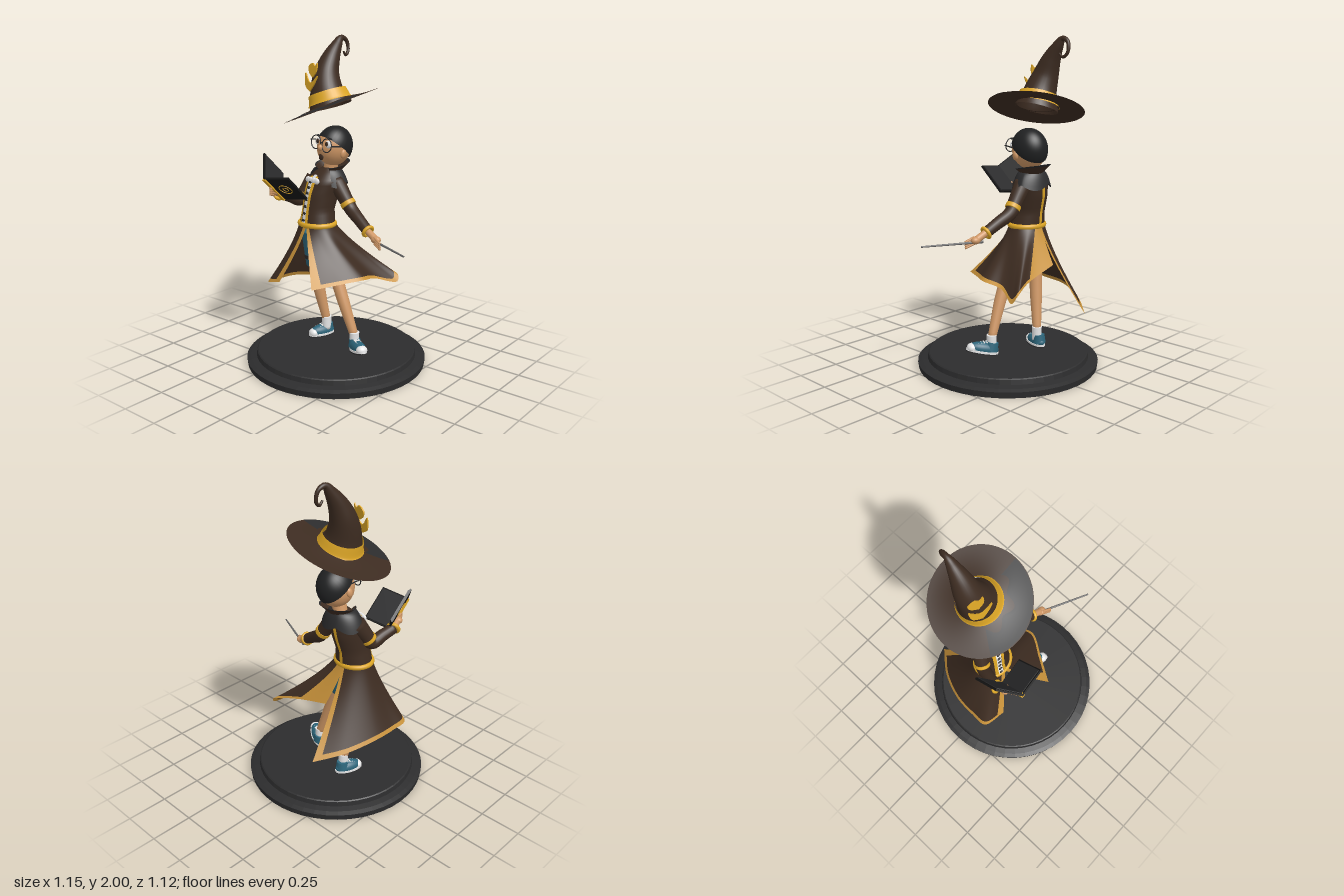
import * as THREE from 'three';
import { mergeVertices } from 'three/addons/utils/BufferGeometryUtils.js';

const V = (x, y, z) => new THREE.Vector3(x, y, z);
const material = (name, color) => new THREE.MeshStandardMaterial({ name, color, side: THREE.DoubleSide });

export function createModel() {
  const model = new THREE.Group();
  model.name = 'wizardFigure';
  const brown = material('robe brown', 0x3d2c21), gold = material('gold', 0xdea726),
    trim = material('trim amber', 0xc8923a), dark = material('charcoal', 0x2c2c2d), hairBlack = material('hair black', 0x202122),
    black = material('book black', 0x161616), skin = material('skin', 0xd09866),
    teal = material('teal', 0x2d667b), white = material('white', 0xe6e6e6), grey = material('wand grey', 0x6c6c6c);

  const add = (name, geo, mat, pos, parent = model) => {
    const m = new THREE.Mesh(geo, mat);
    m.name = name;
    if (pos) m.position.copy(pos);
    parent.add(m);
    return m;
  };
  // Surface from f(u, v); pick(u, v) chooses a material index for each cell
  const grid = (f, nu, nv, pick = () => 0) => {
    const pos = [], idx = [[], []];
    for (let j = 0; j <= nv; j++) for (let i = 0; i <= nu; i++) pos.push(...f(i / nu, j / nv).toArray());
    for (let j = 0; j < nv; j++) for (let i = 0; i < nu; i++) {
      const a = j * (nu + 1) + i, b = a + nu + 1;
      idx[pick((i + 0.5) / nu, (j + 0.5) / nv)].push(a, b, a + 1, a + 1, b, b + 1);
    }
    let g = new THREE.BufferGeometry();
    g.setAttribute('position', new THREE.Float32BufferAttribute(pos, 3));
    g.setIndex([...idx[0], ...idx[1]]);
    g = mergeVertices(g, 1e-5);
    g.addGroup(0, idx[0].length, 0);
    g.addGroup(idx[0].length, idx[1].length, 1);
    g.computeVertexNormals();
    return g;
  };
  // Round limb through points [x, y, z, radius]
  const loft = (pts, caps = true, sides = 18) => {
    const curve = new THREE.CatmullRomCurve3(pts.map(p => V(p[0], p[1], p[2])));
    const n = (pts.length - 1) * 6, rings = [], normal = V(0.13, 0.21, 0.97);
    for (let i = 0; i <= n; i++) {
      const t = i / n, k = Math.min(Math.floor(t * (pts.length - 1)), pts.length - 2), tan = curve.getTangent(t);
      normal.addScaledVector(tan, -normal.dot(tan)).normalize();
      const r = THREE.MathUtils.lerp(pts[k][3], pts[k + 1][3], t * (pts.length - 1) - k);
      rings.push({ p: curve.getPoint(t), n: normal.clone(), b: tan.clone().cross(normal), r });
    }
    if (caps) {
      rings.unshift({ ...rings[0], r: 0 });
      rings.push({ ...rings[rings.length - 1], r: 0 });
    }
    const last = rings.length - 1;
    return grid((u, v) => {
      const q = rings[Math.round(v * last)], a = u * Math.PI * 2;
      return q.p.clone().addScaledVector(q.n, q.r * Math.cos(a)).addScaledVector(q.b, q.r * Math.sin(a));
    }, sides, last);
  };
  const ball = (x, y, z) => new THREE.SphereGeometry(1, 24, 16).scale(x, y, z);

  // Display base
  add('base', new THREE.LatheGeometry([[0, 0], [0.555, 0], [0.56, 0.036], [0.535, 0.046], [0.5, 0.055],
    [0.495, 0.083], [0.488, 0.088], [0, 0.088]].map(p => new THREE.Vector2(...p)), 48).toNonIndexed(), dark, V(-0.015, 0, 0))
    .geometry.computeVertexNormals();

  // Legs, shorts and socks
  const legs = [
    [[-0.215, 0.82, 0, 0.068], [-0.225, 0.575, -0.04, 0.052], [-0.205, 0.4, -0.065, 0.038], [-0.175, 0.19, -0.1, 0.026]],
    [[-0.135, 0.82, 0, 0.068], [-0.035, 0.58, 0.005, 0.054], [0.05, 0.4, 0.008, 0.037], [0.13, 0.19, 0, 0.026]]];
  for (const [hip, knee, calf, ankle] of legs) {
    add('leg', loft([[knee[0], knee[1] + 0.03, knee[2], 0.042], calf, ankle]), skin);
    add('shortsLeg', loft([hip, knee]), teal);
    add('sock', loft([[ankle[0], 0.215, ankle[2], 0.031], [ankle[0], 0.13, ankle[2], 0.03]]), white);
  }
  add('shortsBand', loft([[-0.222, 0.652, -0.027, 0.059], [-0.223, 0.625, -0.031, 0.058]]), dark);

  // Sneakers, toe along local +z
  const shoe = (name, pos, yaw, pitch, k) => {
    const g = new THREE.Group();
    g.name = name;
    g.position.copy(pos);
    g.rotation.set(pitch, yaw, 0, 'YXZ');
    g.scale.z = k;
    add('outsole', new THREE.CylinderGeometry(1, 1, 0.008, 28).scale(0.043, 1, 0.091), dark, V(0, 0.002, 0.045), g);
    add('sole', new THREE.CylinderGeometry(1, 1, 0.013, 28).scale(0.044, 1, 0.092), white, V(0, 0.012, 0.045), g);
    add('shoeUpper', ball(0.041, 0.04, 0.085), teal, V(0, 0.028, 0.04), g);
    add('shoeAnkle', new THREE.CylinderGeometry(0.034, 0.041, 0.05, 20), teal, V(0, 0.05, 0), g);
    add('toeCap', ball(0.035, 0.029, 0.028), white, V(0, 0.022, 0.106), g);
    for (let i = 0; i < 4; i++) add('lace', new THREE.BoxGeometry(0.036, 0.007, 0.008), white, V(0, 0.071 - i * 0.005, 0.032 + i * 0.015), g);
    model.add(g);
  };
  shoe('rightShoe', V(-0.18, 0.09, -0.115), -0.35, 0, 1);
  shoe('leftShoe', V(0.143, 0.096, 0.004), 1.0, -0.22, 1.12);

  // Torso as stacked ellipses: y, centre x, centre z, radius x, radius z
  const rings = [[0.85, -0.175, -0.012, 0.118, 0.105], [0.95, -0.175, -0.025, 0.1, 0.1], [1.05, -0.165, -0.045, 0.107, 0.108],
    [1.13, -0.152, -0.06, 0.118, 0.1], [1.18, -0.14, -0.08, 0.085, 0.075], [1.21, -0.13, -0.09, 0.048, 0.05]];
  const torso = (v, a, off = 0) => {
    const s = v * (rings.length - 1), k = Math.min(Math.floor(s), rings.length - 2);
    const [y, cx, cz, rx, rz] = rings[k].map((q, i) => THREE.MathUtils.lerp(q, rings[k + 1][i], s - k));
    return V(cx + (rx + off) * Math.cos(a), y, cz + (rz + off) * Math.sin(a));
  };
  add('coatBody', grid((u, v) => torso(v, u * Math.PI * 2), 40, 20), brown);
  const strip = (name, mat, a0, a1, v0, v1, off) => add(name,
    grid((u, v) => torso(v0 + (v1 - v0) * v, a0 + (a1 - a0) * u, off), 4, 20), mat);
  strip('shirtFront', white, 1.66, 1.96, 0.02, 0.75, 0.003);
  strip('frontTrim', gold, 1.48, 1.66, 0.02, 0.72, 0.006);
  strip('frontTrim', gold, 1.96, 2.14, 0.02, 0.72, 0.006);
  strip('backSeam', gold, -1.67, -1.47, 0.02, 0.7, 0.004);
  for (let i = 0; i < 7; i++) add('shirtButton', ball(0.012, 0.009, 0.005), dark, torso(0.08 + i * 0.085, 1.81, 0.005));
  for (let i = 0; i < 5; i++) add('neckRuffle', ball(0.022, 0.02, 0.011), white, torso(0.62, 1.45 + i * 0.17, 0.003));
  add('belt', new THREE.TorusGeometry(1, 0.13, 10, 48).rotateX(Math.PI / 2).scale(0.114, 0.13, 0.102), gold, V(-0.175, 0.86, -0.012));

  // Split coat skirt: two panels between the waist and an irregular hem
  const panel = (name, hem, a0, a1, edge0, edge1) => {
    const curve = new THREE.CatmullRomCurve3(hem.map(p => V(...p)), false, 'centripetal');
    add(name, grid((u, v) => {
      const a = a0 + (a1 - a0) * u, w = V(-0.175 + 0.116 * Math.cos(a), 0.865, -0.012 + 0.104 * Math.sin(a));
      const h = curve.getPoint(u), s = Math.pow(v, 1.25);
      return V(w.x + (h.x - w.x) * s, w.y + (h.y - w.y) * v, w.z + (h.z - w.z) * s);
    }, 60, 18, (u, v) => (u < edge0 || u > 1 - edge1 || v > 0.94 ? 1 : 0)), [brown, trim]);
  };
  const H = Math.PI / 2;
  panel('leftSkirtPanel', [[0.03, 0.54, 0.285], [0.125, 0.555, 0.13], [0.205, 0.565, -0.01], [0.185, 0.54, -0.13],
    [0.253, 0.495, -0.28], [0.235, 0.535, -0.305], [0.08, 0.575, -0.25], [-0.16, 0.64, -0.24]], H, -H - 0.12, 0.045, 0.14);
  panel('rightSkirtPanel', [[-0.235, 0.355, -0.43], [-0.36, 0.4, -0.28], [-0.435, 0.44, -0.1], [-0.45, 0.45, 0.05],
    [-0.445, 0.46, 0.16], [-0.31, 0.495, 0.2]], -H, -3 * H, 0.05, 0.06);

  // Sleeves with gold bands and cuffs
  const arms = [
    { side: 'left', s: [-0.075, 1.13, -0.07], e: [0.045, 0.965, -0.075], w: [0.205, 0.865, -0.03], h: [0.275, 0.828, -0.015] },
    { side: 'right', s: [-0.235, 1.13, -0.06], e: [-0.285, 1.0, 0.02], w: [-0.325, 1.055, 0.165], h: [-0.305, 1.08, 0.225] }];
  for (const { side, s, e, w, h } of arms) {
    const S = V(...s), E = V(...e), W = V(...w), P = V(...h), dir = P.clone().sub(W).normalize();
    add(side + 'Sleeve', loft([[...s, 0.055], [...S.clone().lerp(E, 0.6).toArray(), 0.045], [...e, 0.041],
      [...E.clone().lerp(W, 0.5).toArray(), 0.036], [...w, 0.033]]), brown);
    const p = S.clone().lerp(E, 0.72), q = S.clone().lerp(E, 0.86);
    add(side + 'ArmBand', loft([[...p.toArray(), 0.047], [...q.toArray(), 0.047]]), gold);
    add(side + 'Cuff', new THREE.TorusGeometry(0.032, 0.011, 10, 24), gold, W).quaternion.setFromUnitVectors(V(0, 0, 1), dir);
    add(side + 'Wrist', loft([[...w, 0.021], [...h, 0.022]]), skin);
    add(side + 'Palm', ball(0.032, 0.023, 0.026), skin, P);
    for (let i = 0; i < 4; i++) {
      const o = P.clone().add(V(0, 0.016 - i * 0.012, 0.012)), t = o.clone().addScaledVector(dir, 0.05).add(V(0.01, 0, 0.012));
      add(side + 'Finger', loft([[...o.toArray(), 0.009], [...t.toArray(), 0.007]], true, 8), skin);
    }
  }
  add('wand', loft([[0.235, 0.816, -0.035, 0.008], [0.57, 0.816, 0.127, 0.005]], true, 10), grey);

  // Open book: slabs spanned by an origin and two edge vectors
  const slab = (name, mat, o, u, v, t, lift = 0) => {
    const n = u.clone().cross(v).normalize(), m = add(name, new THREE.BoxGeometry(u.length(), v.length(), t), mat);
    const x = u.clone().normalize();
    m.quaternion.setFromRotationMatrix(new THREE.Matrix4().makeBasis(x, n.clone().cross(x), n));
    m.position.copy(o).addScaledVector(u, 0.5).addScaledVector(v, 0.5).addScaledVector(n, lift);
    return m;
  };
  const spine = V(-0.285, 1.03, 0.17), along = V(0, 0.15, 0.165);
  const coverL = V(-0.105, 0.13, -0.1), coverR = V(0.175, 0.022, -0.015);
  for (const [c, inward] of [[coverL, -1], [coverR, 1]]) {
    slab('bookCover', black, spine, along, c, 0.012);
    const o = spine.clone().addScaledVector(along, 0.04).addScaledVector(c, 0.03);
    slab('bookPages', dark, o, along.clone().multiplyScalar(0.92), c.clone().multiplyScalar(0.92), 0.01, 0.006 * inward);
    for (const r of [0.042, 0.018]) {
      slab('coverOrnament', gold, spine, along, c, 0.01, -0.007 * inward).geometry = new THREE.TorusGeometry(r, 0.0025, 6, 28);
    }
  }
  slab('bookSpine', gold, spine.clone().add(V(-0.012, -0.002, 0)), along, V(0.024, 0, 0), 0.022);

  // Neck, standing collar and short cape
  add('neck', loft([[-0.135, 1.16, -0.085, 0.045], [-0.115, 1.26, -0.085, 0.042]]), skin);
  add('shoulderCape', grid((u, v) => {
    const a = H + 0.75 + u * (2 * Math.PI - 1.5), w = Math.pow(v, 0.8);
    const drop = v * v * (0.065 + 0.035 * Math.abs(Math.sin(a * 2 + 0.6)));
    return V(-0.143 + (0.06 + 0.075 * w) * Math.cos(a), 1.21 - drop - 0.015 * v, -0.078 + (0.06 + 0.045 * w) * Math.sin(a));
  }, 48, 8), dark);
  add('collar', grid((u, v) => {
    const a = H + 0.55 + u * (2 * Math.PI - 1.1), back = 0.5 - 0.5 * Math.sin(a), r = 0.06 + v * (0.03 + 0.035 * back);
    return V(-0.128 + r * Math.cos(a), 1.185 + v * (0.025 + 0.042 * back), -0.088 + r * Math.sin(a));
  }, 40, 6, (u, v) => (v > 0.84 ? 1 : 0)), [brown, dark]);

  // Head, hair and glasses
  const head = new THREE.Group();
  head.name = 'head';
  head.position.set(-0.103, 1.34, -0.092);
  head.rotation.set(-0.12, -0.12, -0.15);
  model.add(head);
  add('face', ball(0.099, 0.122, 0.113), skin, V(0, 0, 0), head);
  add('hair', new THREE.SphereGeometry(1, 32, 20, 0, Math.PI * 2, 0, 1.61).rotateX(-0.5).scale(0.104, 0.126, 0.12), hairBlack, V(0, 0, -0.002), head);
  add('nose', ball(0.015, 0.02, 0.02), skin, V(0, -0.012, 0.112), head);
  add('mouth', ball(0.02, 0.024, 0.01), brown, V(0, -0.066, 0.093), head);
  for (const s of [-1, 1]) {
    add('eye', ball(0.026, 0.023, 0.012), white, V(s * 0.043, 0.018, 0.096), head);
    add('pupil', ball(0.013, 0.014, 0.006), brown, V(s * 0.04, 0.02, 0.106), head);
    add('glassesRim', new THREE.TorusGeometry(0.041, 0.0032, 8, 28), dark, V(s * 0.048, 0.012, 0.112), head);
    add('glassesTemple', new THREE.BoxGeometry(0.005, 0.006, 0.1), dark, V(s * 0.096, 0.018, 0.062), head);
    add('brow', new THREE.BoxGeometry(0.036, 0.006, 0.01), dark, V(s * 0.043, 0.056, 0.092), head).rotation.z = -s * 0.15;
    add('ear', ball(0.014, 0.028, 0.02), skin, V(s * 0.1, -0.025, 0.012), head);
  }
  add('glassesBridge', new THREE.BoxGeometry(0.016, 0.005, 0.005), dark, V(0, 0.02, 0.114), head);

  // Pointed hat floating above the head: tilted brim, faded patch, curled crown, band
  const brim = (u, v, lift = 0) => {
    const a = u * Math.PI * 2, r = 0.12 + 0.165 * v, dx = r * Math.cos(a), dz = r * 1.02 * Math.sin(a);
    return V(-0.144 + dx, 1.58 + 0.35 * dx - 0.16 * dz + 0.02 * (1 - v) * (1 - v) + lift, -0.11 + dz);
  };
  add('hatBrim', grid(brim, 64, 10), brown);
  add('brimPatch', grid((u, v) => {
    const start = 0.28 + 0.12 * Math.sin(u * 17);
    return brim(0.35 * u, start + (0.97 - start) * v, 0.004);
  }, 30, 6), dark);
  add('hatCrown', loft([[-0.145, 1.578, -0.11, 0.132], [-0.176, 1.67, -0.11, 0.102], [-0.198, 1.77, -0.135, 0.079],
    [-0.198, 1.86, -0.175, 0.058], [-0.194, 1.935, -0.225, 0.036], [-0.191, 1.983, -0.268, 0.017], [-0.184, 1.965, -0.311, 0.012],
    [-0.176, 1.905, -0.318, 0.01], [-0.17, 1.878, -0.288, 0.009], [-0.168, 1.898, -0.263, 0.006]], false, 28), brown);
  add('hatBand', loft([[-0.15, 1.603, -0.11, 0.138], [-0.171, 1.664, -0.108, 0.117]], false, 36), gold);

  // Cut-out emblem on the front of the crown
  const plate = (name, pts, z) => {
    const shape = new THREE.Shape();
    shape.setFromPoints(new THREE.SplineCurve([...pts, pts[0]].map(p => new THREE.Vector2(...p))).getPoints(40));
    add(name, new THREE.ExtrudeGeometry(shape, { depth: 0.008, bevelEnabled: false }), gold, V(-0.222, 1.75, z)).rotation.set(-0.15, -0.3, 0);
  };
  plate('hatEmblemTop', [[0, 0], [0.035, 0.035], [0.04, 0.085], [0.015, 0.068], [-0.01, 0.088], [-0.052, 0.068], [-0.04, 0.03]], -0.038);
  plate('hatEmblemBase', [[0, -0.082], [0.04, -0.04], [0.07, 0.012], [0.035, -0.014], [0, -0.03], [-0.03, -0.012], [-0.066, 0.03], [-0.055, -0.045]], -0.024);

  return model;
}
